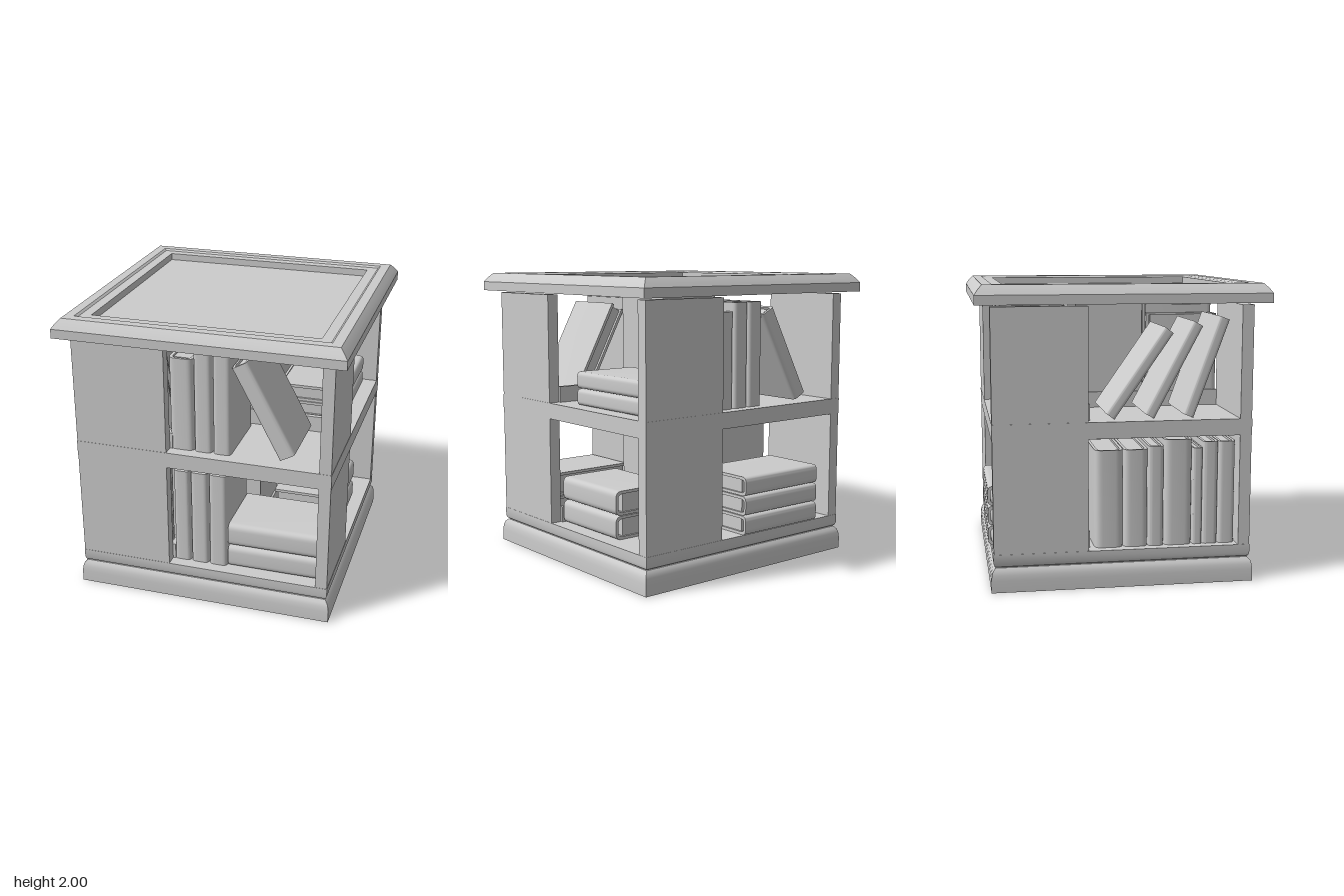
import * as THREE from 'three';
import { toCreasedNormals } from 'three/addons/utils/BufferGeometryUtils.js';

const material = new THREE.MeshStandardMaterial({ color: 0xcccccc });

function add(parent, name, geometry) {
  const mesh = new THREE.Mesh(geometry, material);
  mesh.name = name;
  parent.add(mesh);
  return mesh;
}

// Box given by its limits on each axis
function box(parent, name, [x0, x1], [y0, y1], [z0, z1]) {
  const mesh = add(parent, name, new THREE.BoxGeometry(x1 - x0, y1 - y0, z1 - z0));
  mesh.position.set((x0 + x1) / 2, (y0 + y1) / 2, (z0 + z1) / 2);
  return mesh;
}

// Square moulding from a profile of [half width, height]
function moulding(parent, name, profile, depthRatio = 1) {
  const points = profile.map(([w, y]) => new THREE.Vector2(w * Math.SQRT2, y));
  const geometry = new THREE.LatheGeometry(points, 4);
  geometry.rotateY(Math.PI / 4);
  geometry.scale(1, 1, depthRatio);
  return add(parent, name, toCreasedNormals(geometry, 0.5));
}

// Upright book: spine at z = 0 facing +z, foot on y = 0, centred on x
function makeBook(thick, height, depth) {
  const book = new THREE.Group();
  book.name = 'book';
  const h = thick / 2, c = Math.min(0.02, thick * 0.18), r = thick * 0.28;
  const cover = new THREE.Shape();
  cover.moveTo(-h, depth);
  cover.lineTo(-h, r);
  cover.quadraticCurveTo(-h, 0, -h + r, 0);
  cover.lineTo(h - r, 0);
  cover.quadraticCurveTo(h, 0, h, r);
  cover.lineTo(h, depth);
  cover.lineTo(h - c, depth);
  cover.lineTo(h - c, r + c);
  cover.quadraticCurveTo(h - c, c, h - r, c);
  cover.lineTo(-h + r, c);
  cover.quadraticCurveTo(-h + c, c, -h + c, r + c);
  cover.lineTo(-h + c, depth);
  const geometry = new THREE.ExtrudeGeometry(cover, { depth: height, bevelEnabled: false, curveSegments: 6 });
  geometry.rotateX(-Math.PI / 2);
  add(book, 'bookCover', toCreasedNormals(geometry, 0.6));
  box(book, 'bookPages', [-h + c, h - c], [0.015, height - 0.015], [-depth + 0.02, -r - c]);
  return book;
}

// Book standing between u0 and u1
function standing(bay, u0, u1, y, height, out = 0.8, depth = 0.5) {
  const book = makeBook(u1 - u0 - 0.004, height, depth);
  book.position.set((u0 + u1) / 2, y, out);
  bay.add(book);
}

// Book lying flat between u0 and u1
function lying(bay, u0, u1, y0, y1, out = 0.79, depth = 0.46) {
  const book = makeBook(y1 - y0 - 0.004, u1 - u0, depth);
  book.rotation.z = -Math.PI / 2;
  book.position.set(u0, (y0 + y1) / 2, out);
  bay.add(book);
}

// Book tilted about the middle of its foot
function leaning(bay, u, y, thick, height, angle, out = 0.8, depth = 0.5) {
  const book = makeBook(thick, height, depth);
  book.rotation.z = angle;
  book.position.set(u, y + (thick / 2) * Math.sin(Math.abs(angle)), out);
  bay.add(book);
}

const LOW = 0.25, HIGH = 1.11;

function uprightsWithLeaner(bay) {
  standing(bay, -0.24, -0.07, HIGH, 0.65);
  standing(bay, -0.07, 0.055, HIGH, 0.71);
  standing(bay, 0.06, 0.185, HIGH, 0.71);
  leaning(bay, 0.565, HIGH + 0.01, 0.115, 0.69, 0.49);
}

// Contents of each bay, in order front, right, back, left
const fillBay = [
  (bay) => {
    uprightsWithLeaner(bay);
    [[-0.225, -0.108], [-0.105, 0.022], [0.025, 0.155]].forEach(([a, b]) => standing(bay, a, b, LOW, 0.695));
    lying(bay, 0.165, 0.8, LOW, 0.415, 0.8, 0.48);
    lying(bay, 0.165, 0.8, 0.415, 0.585, 0.8, 0.48);
  },
  (bay) => {
    lying(bay, -0.02, 0.69, HIGH, 1.225);
    lying(bay, -0.02, 0.69, 1.225, 1.345);
    lying(bay, -0.2, 0.44, LOW, 0.415, 0.8);
    lying(bay, -0.2, 0.44, 0.415, 0.585, 0.8);
  },
  (bay) => {
    uprightsWithLeaner(bay);
    for (let i = 0; i < 3; i++) lying(bay, -0.05, 0.64, LOW + i * 0.135, LOW + (i + 1) * 0.135, 0.905, 0.48);
  },
  (bay) => {
    [[-0.08, -0.62], [0.19, -0.5], [0.46, -0.36]].forEach(([u, angle]) => leaning(bay, u, HIGH, 0.075, 0.69, angle));
    const edges = [-0.19, 0.01, 0.18, 0.29, 0.49, 0.56, 0.67, 0.79];
    const heights = [0.66, 0.66, 0.68, 0.72, 0.66, 0.7, 0.7];
    heights.forEach((height, i) => standing(bay, edges[i], edges[i + 1], LOW, height, 0.82));
  },
];

export function createModel() {
  const model = new THREE.Group();
  model.name = 'revolvingBookcase';
  const body = new THREE.Group();
  body.name = 'body';
  body.scale.z = 0.975;
  model.add(body);

  // Plinth, turning base and middle shelf
  moulding(body, 'plinth', [[0, 0], [0.9, 0], [0.9, 0.08], [0.896, 0.115], [0.888, 0.14], [0.87, 0.16], [0, 0.16]]);
  moulding(body, 'turningBase', [[0, 0.16], [0.86, 0.16], [0.875, 0.17], [0.882, 0.19], [0.882, LOW], [0, LOW]]);
  box(body, 'middleShelf', [-0.882, 0.882], [1.0, HIGH], [-0.882, 0.882]);

  // Table top with chamfered rim and sunken panel
  moulding(model, 'tableTop', [
    [0, 1.875], [0.967, 1.875], [0.967, 1.937], [0.945, 1.968], [0.915, 2.0], [0.85, 2.0],
    [0.835, 1.988], [0.765, 1.988], [0.765, 1.94], [0, 1.94],
  ], 0.99);

  // Central column on both levels
  box(body, 'lowerColumn', [-0.24, 0.24], [LOW, 1.0], [-0.24, 0.24]);
  box(body, 'upperColumn', [-0.24, 0.24], [HIGH, 1.88], [-0.24, 0.24]);

  // Four bays arranged as a pinwheel, each with a panel and a low rail per level
  ['front', 'right', 'back', 'left'].forEach((side, i) => {
    const bay = new THREE.Group();
    bay.name = side === 'right' || side === 'left' ? `${side === 'right' ? 'left' : 'right'}Bay` : `${side}Bay`;
    bay.rotation.y = (i * Math.PI) / 2;
    for (const [y0, y1] of [[LOW, 1.0], [HIGH, 1.86]]) {
      box(bay, 'sidePanel', [-0.88, -0.24], [y0, y1], [0.8, 0.88]);
      box(bay, 'backRail', [-0.24, 0.8], [y0, y0 + 0.11], [0.22, 0.255]);
    }
    fillBay[i](bay);
    body.add(bay);
  });
  return model;
}
